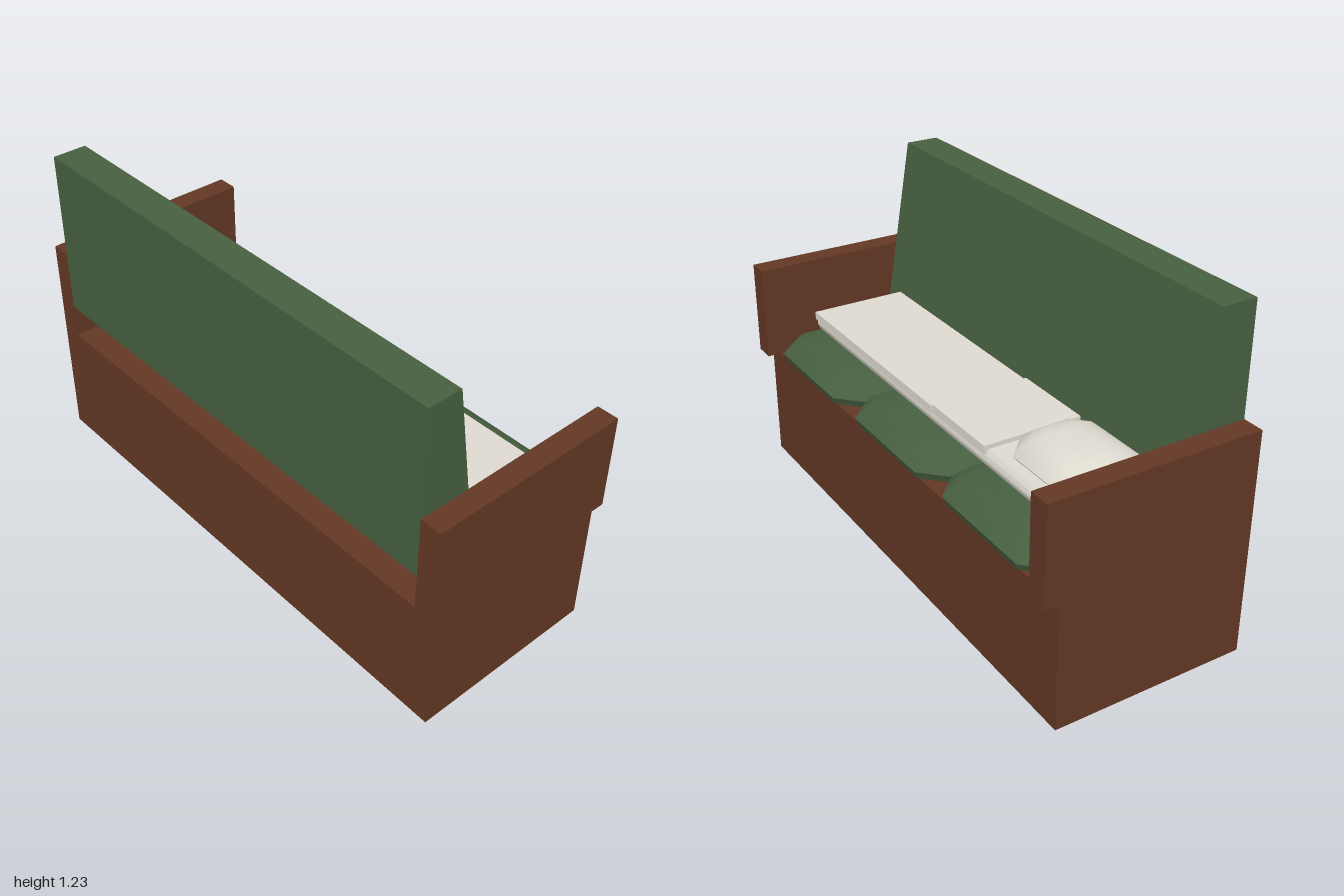
import * as THREE from 'three';
import { toCreasedNormals } from 'three/addons/utils/BufferGeometryUtils.js';

const wood = new THREE.MeshStandardMaterial({ color: 0x633824, side: THREE.DoubleSide });
wood.name = 'brown wood';
const fabric = new THREE.MeshStandardMaterial({ color: 0x476040 });
fabric.name = 'green fabric';
const linen = new THREE.MeshStandardMaterial({ color: 0xdedad0 });
linen.name = 'white linen';

// Padded slab: stacked chamfered rectangles, levels are [y, inset from the edge]
function pad(hx, hz, chamfer, levels, crease = 0.6) {
  const pos = [], index = [];
  for (const [y, inset] of levels) {
    const x = hx - inset, z = hz - inset, c = chamfer * Math.min(1, z / hz);
    for (const [px, pz] of [[x, z - c], [x - c, z], [-x + c, z], [-x, z - c],
      [-x, -z + c], [-x + c, -z], [x - c, -z], [x, -z + c]]) pos.push(px, y, pz);
  }
  for (let r = 0; r < levels.length - 1; r++) {
    for (let i = 0; i < 8; i++) {
      const a = r * 8 + i, b = r * 8 + (i + 1) % 8;
      index.push(a, a + 8, b, b, a + 8, b + 8);
    }
  }
  const top = (levels.length - 1) * 8;
  for (let i = 1; i < 7; i++) {
    index.push(0, i, i + 1);
    index.push(top, top + i + 1, top + i);
  }
  const g = new THREE.BufferGeometry();
  g.setAttribute('position', new THREE.Float32BufferAttribute(pos, 3));
  g.setIndex(index);
  return toCreasedNormals(g, crease);
}

export function createModel() {
  const group = new THREE.Group();
  const add = (name, geometry, material, x = 0, y = 0, z = 0) => {
    const mesh = new THREE.Mesh(geometry, material);
    mesh.name = name;
    mesh.position.set(x, y, z);
    group.add(mesh);
    return mesh;
  };

  // Hollow base, open underneath
  const base = new THREE.BoxGeometry(2, 0.465, 0.722);
  const faces = Array.from(base.index.array);
  faces.splice(18, 6);
  base.setIndex(faces);
  base.clearGroups();
  add('base', base, wood, 0, 0.2325, 0.027);

  // Arm panels, overhanging the seat edge
  for (const side of [-1, 1]) {
    add(side > 0 ? 'leftArm' : 'rightArm', new THREE.BoxGeometry(0.08, 0.36, 0.776), wood,
      side * 0.96, 0.645, 0);
  }

  // Wedge backrest, extruded across the width
  const wedge = new THREE.Shape([[0.388, 0.595], [0.388, 1.226], [0.26, 1.226], [0.157, 0.595]]
    .map(([z, y]) => new THREE.Vector2(-z, y)));
  const back = new THREE.ExtrudeGeometry(wedge, { depth: 1.84, bevelEnabled: false });
  back.rotateY(Math.PI / 2);
  add('backrest', back, fabric, -0.92);

  // Three seat cushions
  const cushion = pad(0.3, 0.275, 0.085,
    [[0.481, 0.012], [0.512, 0], [0.548, 0.03], [0.57, 0.07], [0.583, 0.13]]);
  for (let i = -1; i <= 1; i++) add('seatCushion', cushion, fabric, i * 0.605, 0, -0.09);

  // Mattress with softened sides
  add('mattress', pad(0.852, 0.186, 0.03,
    [[0.568, 0.025], [0.585, 0.007], [0.605, 0], [0.625, 0.004], [0.642, 0.014]], 0.8),
  linen, 0, 0, -0.027);

  // Blanket and its turned-back fold
  add('blanket', new THREE.BoxGeometry(0.9, 0.03, 0.376), linen, 0.383, 0.634, -0.027);
  add('blanketFold', new THREE.BoxGeometry(0.325, 0.032, 0.376), linen, -0.24, 0.642, -0.027);

  // Domed pillow
  add('pillow', pad(0.208, 0.165, 0.075,
    [[0.635, 0.015], [0.655, 0], [0.685, 0.018], [0.712, 0.05], [0.728, 0.085], [0.735, 0.12]], 1.0),
  linen, -0.632, 0, -0.005);

  return group;
}
